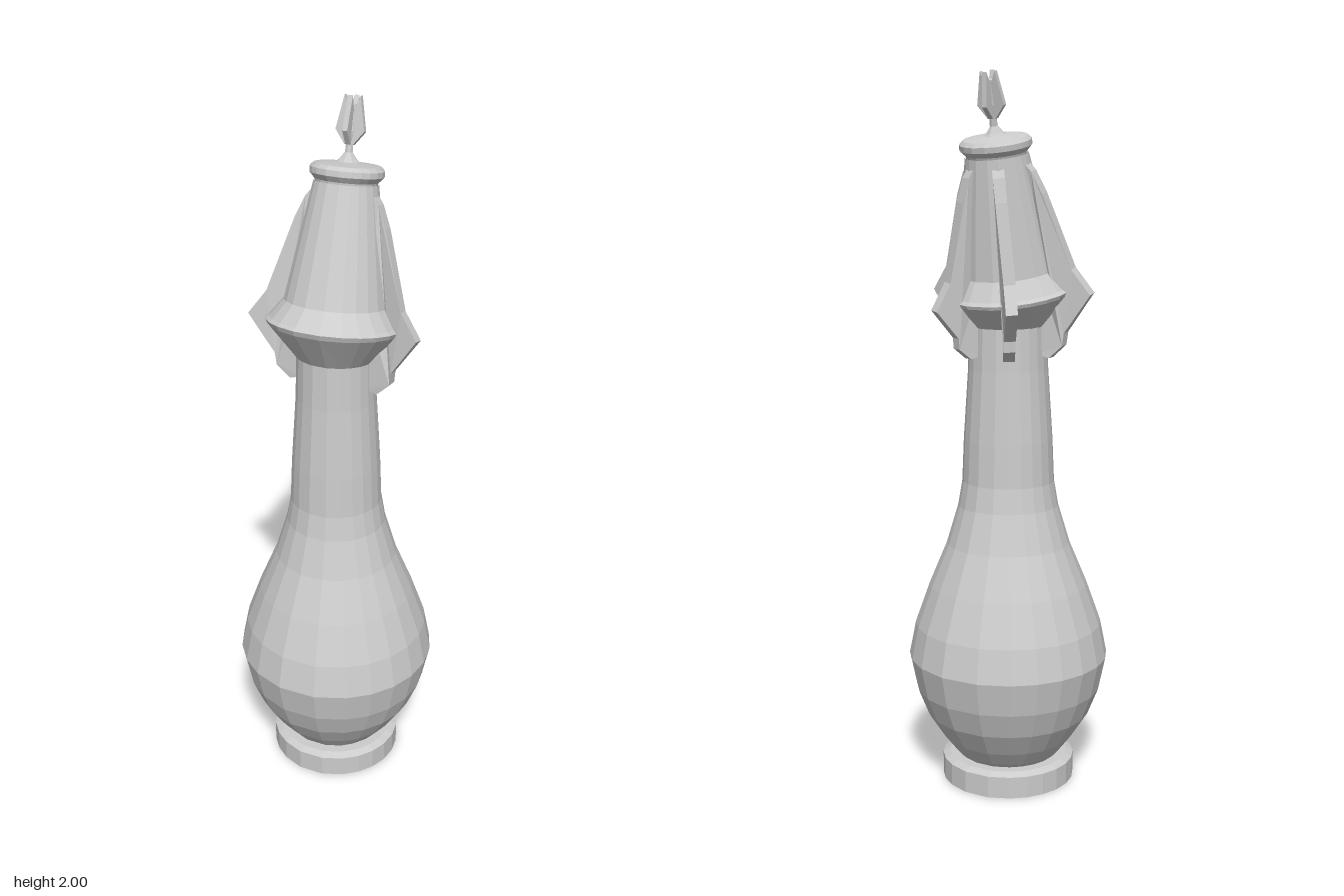
import * as THREE from 'three';

const material = new THREE.MeshStandardMaterial({ color: 0xcccccc, flatShading: true });
const TILT = THREE.MathUtils.degToRad(12);
const RIM_Y = 1.42;

// Round part from [radius, height] pairs, with a slightly flattened front and back
function turned(profile, segments = 24) {
  const points = profile.map(([r, y]) => new THREE.Vector2(r, y));
  const geometry = new THREE.LatheGeometry(points, segments);
  const pos = geometry.attributes.position;
  for (let i = 0; i < pos.count; i++) {
    const x = pos.getX(i), z = pos.getZ(i), r = Math.hypot(x, z);
    if (segments === 24 && Math.abs(x) < 0.3 * r) {
      pos.setX(i, x * 0.75);
      pos.setZ(i, Math.sign(z) * r * 0.985);
    }
  }
  return geometry;
}

// Flat plate in the radius/height plane, turned around the y axis
function plate(outline, thickness, angle) {
  const shape = new THREE.Shape(outline.map(([r, y]) => new THREE.Vector2(r, y)));
  const geometry = new THREE.ExtrudeGeometry(shape, { depth: thickness, bevelEnabled: false });
  geometry.translate(0, 0, -thickness / 2);
  return geometry.rotateY(THREE.MathUtils.degToRad(angle));
}

// Leans the head backwards; heights are measured from the hood rim
function lean(geometry) {
  const pos = geometry.attributes.position;
  for (let i = 0; i < pos.count; i++) {
    const s = pos.getY(i), z = pos.getZ(i);
    const t = THREE.MathUtils.clamp((s + 0.2) / 0.2, 0, 1);
    const tilt = TILT * t, up = Math.max(s, 0), down = Math.min(s, 0);
    pos.setY(i, RIM_Y + down + up * Math.cos(tilt) + z * Math.sin(tilt));
    pos.setZ(i, 0.0125 * t - up * Math.sin(tilt) + z * Math.cos(tilt));
  }
  return geometry;
}

export function createModel() {
  const model = new THREE.Group();
  const add = (parent, name, geometry) => {
    geometry.computeVertexNormals();
    const mesh = new THREE.Mesh(geometry, material);
    mesh.name = name;
    parent.add(mesh);
  };

  // Foot and bulbous body with a long neck
  add(model, 'foot', turned([[0, 0], [0.19, 0], [0.19, 0.062], [0.17, 0.072], [0, 0.075]]));
  add(model, 'body', turned([
    [0.14, 0.07], [0.155, 0.085], [0.19, 0.13], [0.235, 0.2], [0.265, 0.275], [0.285, 0.37],
    [0.266, 0.465], [0.225, 0.58], [0.175, 0.7], [0.142, 0.81], [0.13, 0.88], [0.125, 1.0],
    [0.112, 1.2], [0.108, 1.34],
  ]));

  const head = new THREE.Group();
  head.name = 'head';
  model.add(head);

  // Hood with a wide rim, and the cap on top
  add(head, 'hood', lean(turned([
    [0.108, -0.1], [0.18, -0.012], [0.185, 0], [0.175, 0.008], [0.14, 0.055], [0.086, 0.37],
  ])));
  add(head, 'cap', lean(turned([
    [0.08, 0.355], [0.084, 0.375], [0.098, 0.39], [0.098, 0.405], [0.088, 0.415], [0, 0.425],
  ])));

  // Side and back fins
  const fin = [
    [0.06, 0.36], [0.08, 0.355], [0.104, 0.325], [0.13, 0.265], [0.195, 0.06], [0.245, -0.01],
    [0.172, -0.115], [0.168, -0.15], [0.13, -0.185], [0.095, -0.175], [0.095, -0.08], [0.1, 0.05],
  ].reverse();
  for (const angle of [-3, 61, 119, 183]) add(head, 'fin', lean(plate(fin, 0.032, angle)));

  // Finial: stem and four crossed blades
  add(head, 'finialStem', lean(turned([
    [0.034, 0.418], [0.024, 0.428], [0.011, 0.445], [0.01, 0.47], [0.014, 0.5], [0.01, 0.565], [0, 0.57],
  ], 8)));
  const blade = [[0, 0.47], [0.012, 0.465], [0.04, 0.5], [0.022, 0.588], [0.01, 0.56], [0, 0.56]];
  for (let i = 0; i < 4; i++) add(head, 'finialBlade', lean(plate(blade, 0.014, i * 90)));

  return model;
}
